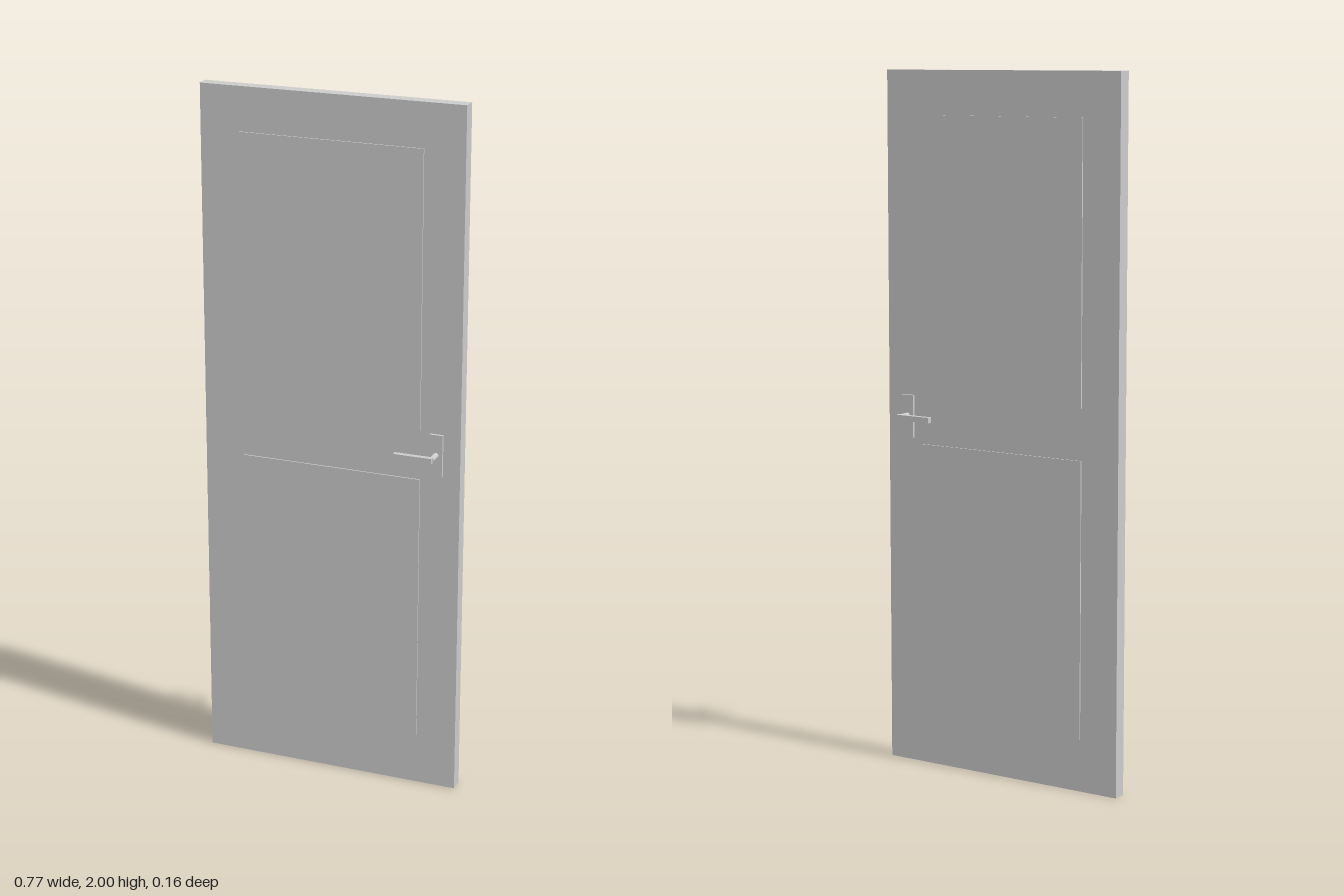
import * as THREE from 'three';

const material = new THREE.MeshStandardMaterial({ color: 0xcccccc });

function add(parent, name, geometry, x, y, z) {
  const mesh = new THREE.Mesh(geometry, material);
  mesh.name = name;
  mesh.position.set(x, y, z);
  parent.add(mesh);
  return mesh;
}

export function createModel() {
  const door = new THREE.Group();
  door.name = 'door';

  // Main slab
  add(door, 'slab', new THREE.BoxGeometry(0.766, 2, 0.04), 0, 1, 0);

  for (const [side, s] of [['front', 1], ['back', -1]]) {
    // Slightly raised upper and lower panels
    add(door, side + 'UpperPanel', new THREE.BoxGeometry(0.532, 0.79, 0.012), 0, 1.48, s * 0.018);
    add(door, side + 'LowerPanel', new THREE.BoxGeometry(0.532, 0.79, 0.012), 0, 0.545, s * 0.018);

    // Handle: backplate, round neck and lever pointing to the hinge side
    const handle = new THREE.Group();
    handle.name = side + 'Handle';
    add(handle, 'backplate', new THREE.BoxGeometry(0.038, 0.123, 0.012), 0.314, 1.018, s * 0.022);
    const neck = new THREE.CylinderGeometry(0.008, 0.008, 0.046, 16).rotateX(Math.PI / 2);
    add(handle, 'neck', neck, 0.314, 1.02, s * 0.045);
    add(handle, 'lever', new THREE.BoxGeometry(0.112, 0.016, 0.015), 0.263, 1.02, s * 0.0715);
    door.add(handle);
  }
  return door;
}
